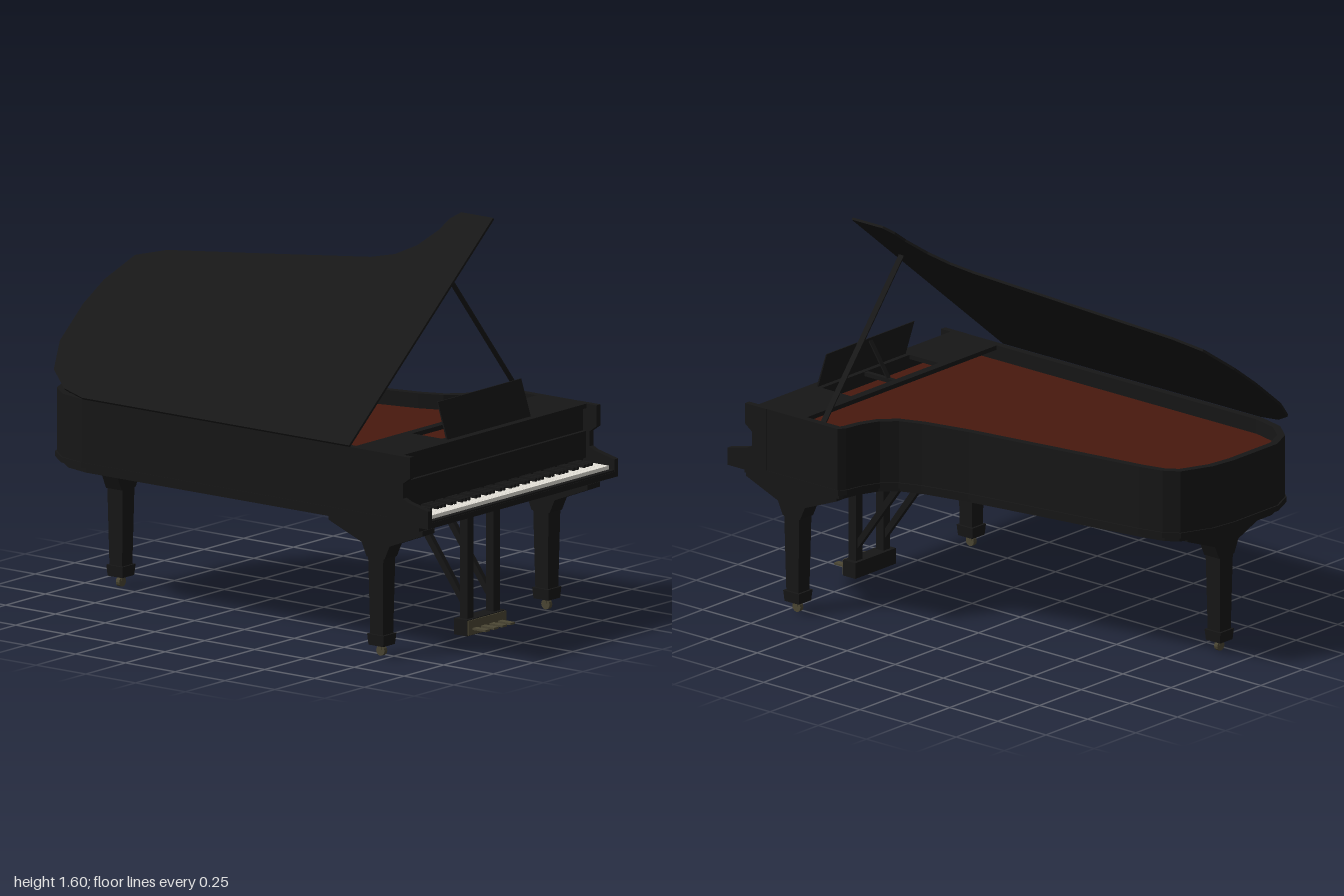
import * as THREE from 'three';

const paint = (color) => new THREE.MeshStandardMaterial({ color, side: THREE.DoubleSide, flatShading: true });
const black = paint(0x171717);
const wood = paint(0x48190e);
const ivory = paint(0xe6e3da);
const brass = paint(0x4c4734);

function add(parent, name, geometry, material, x = 0, y = 0, z = 0) {
  const mesh = new THREE.Mesh(geometry, material);
  mesh.name = name;
  mesh.position.set(x, y, z);
  parent.add(mesh);
  return mesh;
}

// Box given by its limits on each axis
function box(parent, name, material, [x0, x1], [y0, y1], [z0, z1]) {
  return add(parent, name, new THREE.BoxGeometry(x1 - x0, y1 - y0, z1 - z0), material,
    (x0 + x1) / 2, (y0 + y1) / 2, (z0 + z1) / 2);
}

const vectors = (pts) => pts.map(([a, b]) => new THREE.Vector2(a, b));

// Horizontal slab from an [x, z] outline, rising from y = 0
function slab(outline, height, hole) {
  const flip = (pts) => vectors(pts.map(([x, z]) => [x, -z]));
  const shape = new THREE.Shape(flip(outline));
  if (hole) shape.holes.push(new THREE.Path(flip(hole)));
  return new THREE.ExtrudeGeometry(shape, { depth: height, bevelEnabled: false }).rotateX(-Math.PI / 2);
}

// Upright panel from a [z, y] profile, centred on x = 0
function panel(profile, width) {
  return new THREE.ExtrudeGeometry(new THREE.Shape(vectors(profile)), { depth: width, bevelEnabled: false })
    .rotateY(-Math.PI / 2).translate(width / 2, 0, 0);
}

// Plan of the case: straight bass side, rounded tail, curved treble side
const caseOutline = (front) => [
  [-0.6, front], [-0.6, -0.74], [-0.57, -0.86], [-0.5, -0.945], [-0.4, -0.99], [-0.14, -0.99],
  [-0.03, -0.975], [0.1, -0.92], [0.14, -0.86], [0.165, -0.76], [0.23, -0.35], [0.29, 0.02],
  [0.335, 0.22], [0.37, 0.31], [0.42, 0.365], [0.49, 0.395], [0.57, 0.41], [0.6, 0.43], [0.6, front],
];

// Move every edge of an outline inwards by d
function inset(pts, d) {
  const normal = (a, b) => new THREE.Vector2(a[1] - b[1], a[0] - b[0]).normalize();
  return pts.map((p, i) => {
    const n1 = normal(pts[(i + pts.length - 1) % pts.length], p);
    const n2 = normal(p, pts[(i + 1) % pts.length]);
    const k = d / (1 + n1.dot(n2));
    return [p[0] + k * (n1.x + n2.x), p[1] - -k * (-n1.y - n2.y)];
  });
}

// Square tapered post standing on y = 0
const post = (top, bottom, height) =>
  new THREE.CylinderGeometry(top * Math.SQRT1_2, bottom * Math.SQRT1_2, height, 4)
    .rotateY(Math.PI / 4).translate(0, height / 2, 0);

function makeLeg(name) {
  const leg = new THREE.Group();
  leg.name = name;
  const half = [[0.235, 0.54], [0.235, 0.52], [0.07, 0.455], [0.045, 0.4]];
  const bracket = [...half, ...half.map(([z, y]) => [-z, y]).reverse()];
  add(leg, 'legBracket', panel(bracket, 0.078), black);
  add(leg, 'legPost', post(0.076, 0.064, 0.32), black, 0, 0.085, 0);
  add(leg, 'legFoot', post(0.082, 0.074, 0.045), black, 0, 0.045, 0);
  add(leg, 'casterFork', new THREE.BoxGeometry(0.024, 0.025, 0.016), brass, 0, 0.037, 0);
  add(leg, 'caster', new THREE.CylinderGeometry(0.021, 0.021, 0.018, 12).rotateZ(Math.PI / 2), brass, 0, 0.021, 0);
  return leg;
}

function makeKeyboard() {
  const keyboard = new THREE.Group();
  keyboard.name = 'keyboard';
  const count = 52, pitch = 1.146 / count;
  for (let i = 0; i < count; i++) {
    const x = -0.573 + i * pitch;
    box(keyboard, 'whiteKey', ivory, [x + 0.001, x + pitch - 0.001], [0.585, 0.607], [0.84, 0.975]);
    // Sharps follow the two-and-three pattern, starting on A
    if (i < count - 1 && ![1, 4].includes(i % 7)) {
      box(keyboard, 'blackKey', black, [x + pitch - 0.006, x + pitch + 0.006], [0.6, 0.62], [0.84, 0.925]);
    }
  }
  return keyboard;
}

function makeLid() {
  // Plan measured outwards from the hinge
  const outline = [
    [-0.02, 0.61], [-0.02, -0.73], [0.01, -0.84], [0.09, -0.94], [0.23, -0.995], [0.42, -0.995],
    [0.55, -0.97], [0.69, -0.9], [0.74, -0.77], [0.8, -0.35], [0.877, 0.17], [0.91, 0.27],
    [0.97, 0.345], [1.06, 0.4], [1.12, 0.415], [1.16, 0.45], [1.16, 0.61],
  ];
  const lid = new THREE.Group();
  lid.name = 'lid';
  lid.position.set(-0.585, 0.853, 0);
  lid.rotation.z = 0.693;
  add(lid, 'lidPanel', slab(outline, 0.01), black);
  return lid;
}

function makeLyre() {
  const lyre = new THREE.Group();
  lyre.name = 'pedalLyre';
  for (const x of [-0.082, 0.083]) {
    box(lyre, 'lyrePost', black, [x - 0.02, x + 0.02], [0.085, 0.545], [0.765, 0.802]);
    add(lyre, 'lyreBrace', panel([[0.765, 0.135], [0.765, 0.175], [0.495, 0.545], [0.46, 0.545]], 0.022), black, x);
  }
  box(lyre, 'pedalBox', black, [-0.12, 0.123], [0.02, 0.085], [0.75, 0.815]);
  box(lyre, 'pedalPlate', brass, [-0.118, 0.121], [0.023, 0.082], [0.815, 0.82]);
  for (let i = 0; i < 4; i++) {
    const x = -0.078 + i * 0.053;
    box(lyre, 'pedal', brass, [x - 0.014, x + 0.014], [0.042, 0.05], [0.82, 0.885]);
  }
  return lyre;
}

export function createModel() {
  const piano = new THREE.Group();
  piano.name = 'grandPiano';

  // Case
  const rim = inset(caseOutline(0.845), 0.002);
  add(piano, 'rim', slab(rim, 0.26, inset(rim, 0.03)), black, 0, 0.58, 0);
  add(piano, 'baseMoulding', slab(inset(caseOutline(1), -0.004).map(([x, z]) =>
    [THREE.MathUtils.clamp(x, -0.6, 0.6), Math.min(z, 1)]), 0.022), black, 0, 0.563, 0);
  add(piano, 'bottomBoard', slab(inset(caseOutline(0.96), 0.025), 0.025), black, 0, 0.54, 0);
  add(piano, 'soundboard', slab(inset(caseOutline(0.83), 0.02), 0.01), wood, 0, 0.77, 0);

  // Cheeks, key slip and fallboard
  const cheek = [[0.8, 0.58], [1, 0.58], [1, 0.635], [0.9, 0.658], [0.875, 0.67], [0.875, 0.73],
    [0.91, 0.755], [0.91, 0.84], [0.8, 0.84]];
  for (const side of [-1, 1]) add(piano, 'cheek', panel(cheek, 0.025), black, side * 0.5875);
  box(piano, 'keySlip', black, [-0.577, 0.577], [0.58, 0.592], [0.975, 0.998]);
  box(piano, 'fallboard', black, [-0.577, 0.577], [0.622, 0.73], [0.84, 0.858]);
  piano.add(makeKeyboard());

  // Deck with its opening and the music desk
  const rectangle = (x0, x1, z0, z1) => [[x0, z0], [x1, z0], [x1, z1], [x0, z1]];
  add(piano, 'deck', slab(rectangle(-0.577, 0.577, 0.615, 0.86), 0.018,
    rectangle(-0.26, 0.265, 0.65, 0.8)), black, 0, 0.822, 0);
  box(piano, 'deckBar', black, [-0.01, 0.01], [0.822, 0.838], [0.65, 0.8]);
  add(piano, 'musicDesk', panel([[0.83, 0.835], [0.78, 0.985], [0.775, 0.985], [0.822, 0.835]], 0.525), black, 0.0025);
  add(piano, 'deskStay', panel([[0.68, 0.835], [0.776, 0.975], [0.779, 0.97], [0.686, 0.835]], 0.02), black);

  // Lid and its prop
  piano.add(makeLid());
  const foot = new THREE.Vector2(0.57, 0.835), head = new THREE.Vector2(0.1, 1.41);
  const prop = add(piano, 'lidProp', new THREE.BoxGeometry(0.005, foot.distanceTo(head), 0.026), black,
    (foot.x + head.x) / 2, (foot.y + head.y) / 2, 0.53);
  prop.rotation.z = Math.atan2(foot.x - head.x, head.y - foot.y);

  // Legs and pedals
  for (const [name, x, z, turn] of [['frontRightLeg', -0.52, 0.705, 0], ['frontLeftLeg', 0.52, 0.705, 0],
    ['rearLeg', -0.212, -0.85, Math.PI / 2]]) {
    const leg = makeLeg(name);
    leg.position.set(x, 0, z);
    leg.rotation.y = turn;
    piano.add(leg);
  }
  piano.add(makeLyre());
  return piano;
}
